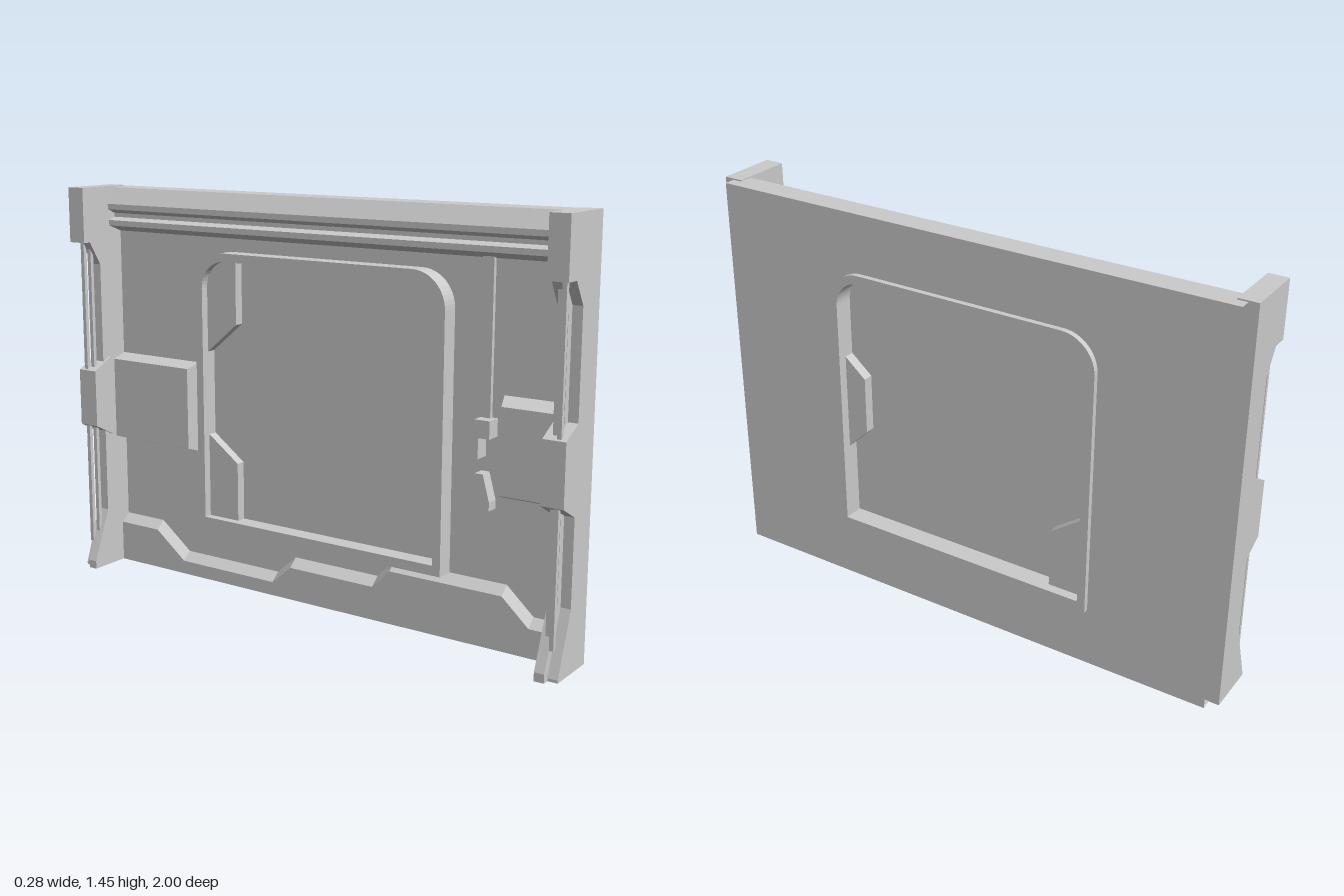
import * as THREE from 'three';

const mat = new THREE.MeshStandardMaterial({ color: 0xcccccc, flatShading: true, side: THREE.DoubleSide });

function add(parent, name, geometry) {
  const mesh = new THREE.Mesh(geometry, mat);
  mesh.name = name;
  parent.add(mesh);
  return mesh;
}

const toShape = (pts) => new THREE.Shape(pts.map(([a, b]) => new THREE.Vector2(a, b)));

// Outline in (x, y), extruded along z
function alongZ(pts, z0, z1) {
  return new THREE.ExtrudeGeometry(toShape(pts), { depth: z1 - z0, bevelEnabled: false }).translate(0, 0, z0);
}

// Shape in (-z, y), extruded along x
function alongX(shape, x0, x1) {
  return new THREE.ExtrudeGeometry(shape, { depth: x1 - x0, bevelEnabled: false, curveSegments: 6 })
    .rotateY(Math.PI / 2).translate(x0, 0, 0);
}

// Polygon given as (z, y) points
const plate = (pts, x0, x1) => alongX(toShape(pts.map(([z, y]) => [-z, y])), x0, x1);

function box(x0, x1, y0, y1, z0, z1) {
  return new THREE.BoxGeometry(x1 - x0, y1 - y0, z1 - z0)
    .translate((x0 + x1) / 2, (y0 + y1) / 2, (z0 + z1) / 2);
}

// Doorway outline: square at the bottom, rounded at the top
function doorway(w, y0, y1, r) {
  const s = new THREE.Shape();
  s.moveTo(-w, y0);
  s.lineTo(w, y0);
  s.lineTo(w, y1 - r);
  s.absarc(w - r, y1 - r, r, 0, Math.PI / 2, false);
  s.absarc(-w + r, y1 - r, r, Math.PI / 2, Math.PI, false);
  s.closePath();
  return s;
}

// Block on the inner wall with chamfered sides, tapering towards -x
function chamferBlock(x0, x1, y0, y1, z0, z1, c) {
  const g = box(x0, x1, y0, y1, z0, z1);
  const p = g.attributes.position;
  const cy = (y0 + y1) / 2, cz = (z0 + z1) / 2;
  for (let i = 0; i < p.count; i++) {
    if (p.getX(i) > (x0 + x1) / 2) continue;
    p.setY(i, p.getY(i) - Math.sign(p.getY(i) - cy) * c);
    p.setZ(i, p.getZ(i) - Math.sign(p.getZ(i) - cz) * c);
  }
  g.computeVertexNormals();
  return g;
}

function createPillar() {
  const pillar = new THREE.Group();
  // Outer layer with the narrow waist
  add(pillar, 'pillarBody', alongZ([
    [0.08, 0], [0.08, 1.45], [-0.14, 1.45], [-0.14, 1.25], [-0.085, 1.25], [-0.035, 1.17],
    [-0.035, 0.22], [-0.11, 0.01], [-0.11, 0],
  ], 0.965, 1));
  // Inner layer, standing slightly proud of the outer one
  add(pillar, 'pillarFlange', alongZ([
    [0.08, 0], [0.08, 1.45], [-0.14, 1.45], [-0.14, 1.25], [-0.11, 1.25], [-0.06, 1.165],
    [-0.06, 0.22], [-0.135, 0.03], [-0.135, 0],
  ], 0.93, 0.965));
  add(pillar, 'clamp', alongZ([
    [-0.03, 0.515], [-0.03, 0.815], [-0.115, 0.77], [-0.115, 0.56],
  ], 0.92, 1));
  // Pair of thin rods passing through the clamp
  add(pillar, 'outerRod', box(-0.108, -0.094, 0.1, 1.25, 0.965, 0.98));
  add(pillar, 'innerRod', box(-0.094, -0.08, 0.14, 1.25, 0.945, 0.96));
  return pillar;
}

export function createModel() {
  const model = new THREE.Group();
  model.name = 'wallPanel';

  // End pillars
  for (const side of [1, -1]) {
    const pillar = createPillar();
    pillar.name = side > 0 ? 'frontPillar' : 'backPillar';
    pillar.scale.z = side;
    model.add(pillar);
  }

  // Outer skin, cut out for the doorway
  const skin = toShape([[-0.965, 0], [0.965, 0], [0.965, 1.445], [-0.965, 1.445]]);
  skin.holes.push(doorway(0.515, 0.22, 1.235, 0.125));
  add(model, 'outerSkin', new THREE.ShapeGeometry(skin, 6).rotateY(Math.PI / 2).translate(0.12, 0, 0));

  // Inner wall, also closing the doorway
  add(model, 'innerWall', box(0.055, 0.067, 0, 1.44, -0.95, 0.95));
  add(model, 'bottomSheet', new THREE.PlaneGeometry(0.1, 1.93).rotateX(-Math.PI / 2).translate(0.07, 0.002, 0));
  add(model, 'topSheet', new THREE.PlaneGeometry(0.09, 1.93).rotateX(-Math.PI / 2).translate(0.075, 1.445, 0));

  // Stepped header along the top of the inner wall
  add(model, 'header', alongZ([
    [0.065, 1.444], [0.03, 1.444], [-0.01, 1.385], [-0.01, 1.365], [0.025, 1.35],
    [0.025, 1.335], [-0.005, 1.325], [-0.005, 1.305], [0.06, 1.28],
  ], -0.93, 0.93));

  // Door frame
  const ring = doorway(0.515, 0.22, 1.235, 0.125);
  ring.holes.push(doorway(0.485, 0.255, 1.205, 0.1));
  add(model, 'doorFrame', alongX(ring, -0.01, 0.14));

  // Brackets inside the frame, with a recessed middle
  const brackets = [
    [[0.487, 0.54], [0.487, 0.9], [0.405, 0.83], [0.405, 0.62]],
    [[-0.355, 1.206], [-0.487, 1.206], [-0.487, 0.87], [-0.355, 0.98]],
    [[-0.355, 0.254], [-0.487, 0.254], [-0.487, 0.565], [-0.355, 0.47]],
  ];
  brackets.forEach((pts) => add(model, 'doorBracket', plate(pts, 0.02, 0.105)));

  // Stepped kick plate with a sloped upper lip
  const steps = [
    [-0.93, 0.15], [-0.75, 0.15], [-0.62, 0.05], [-0.2, 0.05], [-0.12, 0.12], [0.23, 0.12],
    [0.3, 0.19], [0.73, 0.19], [0.83, 0.1], [0.93, 0.1],
  ];
  add(model, 'kickPlate', plate([[-0.93, 0], ...steps, [0.93, 0]], 0.02, 0.06));
  const lip = [];
  for (let i = 0; i + 1 < steps.length; i++) {
    const [[za, ya], [zb, yb]] = [steps[i], steps[i + 1]];
    const a = [0.02, ya, za], b = [0.02, yb, zb];
    const c = [0.055, yb + 0.03, zb], d = [0.055, ya + 0.03, za];
    lip.push(...a, ...b, ...c, ...a, ...c, ...d);
  }
  const lipGeometry = new THREE.BufferGeometry();
  lipGeometry.setAttribute('position', new THREE.Float32BufferAttribute(lip, 3));
  lipGeometry.computeVertexNormals();
  add(model, 'kickPlateLip', lipGeometry);

  // Blocks beside the pillars
  add(model, 'frontBlock', chamferBlock(-0.01, 0.06, 0.51, 0.85, 0.7, 0.95, 0.025));
  add(model, 'backBlock', chamferBlock(0.0, 0.06, 0.48, 0.82, -0.95, -0.55, 0.02));

  // Latch and its vertical rail
  add(model, 'latchRail', box(0.04, 0.06, 0.76, 1.29, 0.62, 0.66));
  add(model, 'latchHook', plate([
    [0.6, 0.64], [0.6, 0.74], [0.625, 0.77], [0.68, 0.77], [0.68, 0.71], [0.64, 0.71], [0.64, 0.64],
  ], 0.0, 0.06));
  add(model, 'latchCatch', plate([
    [0.6, 0.47], [0.625, 0.59], [0.655, 0.59], [0.68, 0.5], [0.68, 0.47],
  ], 0.01, 0.06));

  return model;
}
